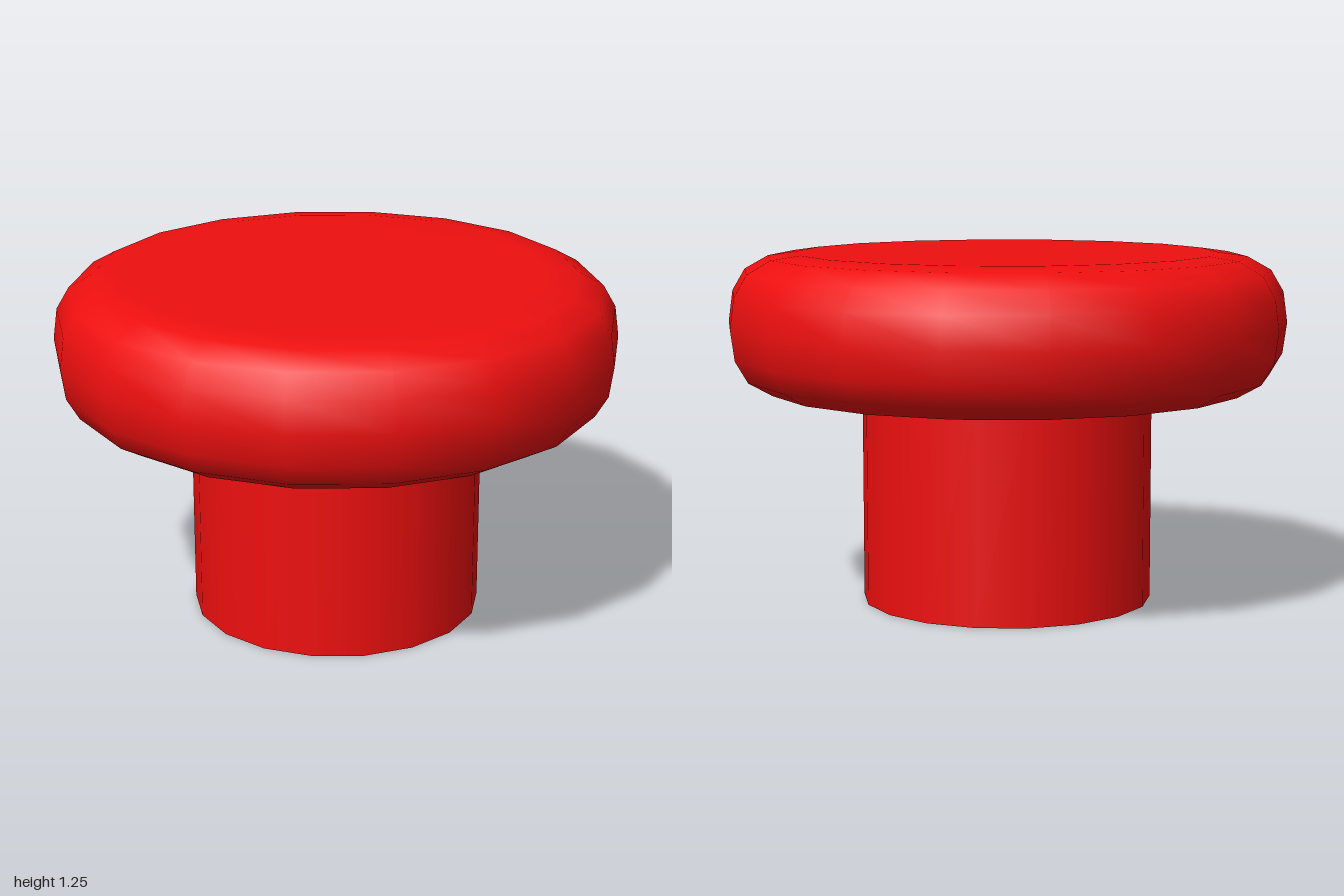
import * as THREE from 'three';

const SIDES = 18;

export function createModel() {
  const model = new THREE.Group();
  model.name = 'pushButton';
  const red = new THREE.MeshStandardMaterial({ color: 0xee0f0f });

  const add = (name, geometry, y) => {
    const mesh = new THREE.Mesh(geometry, red);
    mesh.name = name;
    mesh.position.y = y;
    mesh.rotation.y = Math.PI / 2; // a corner of the polygon points along x
    model.add(mesh);
  };

  // Stem: straight closed cylinder
  add('stem', new THREE.CylinderGeometry(0.52, 0.52, 0.75, SIDES), 0.375);

  // Cap: rounded disc, rim profile mirrored about its mid height
  const upper = [[0.985, 0.11], [0.94, 0.187], [0.855, 0.235], [0.75, 0.25], [0, 0.25]];
  const lower = upper.map(([r, y]) => [r, -y]).reverse();
  const profile = [...lower, [1, 0], ...upper].map(([r, y]) => new THREE.Vector2(r, y));
  add('cap', new THREE.LatheGeometry(profile, SIDES), 1);

  return model;
}
